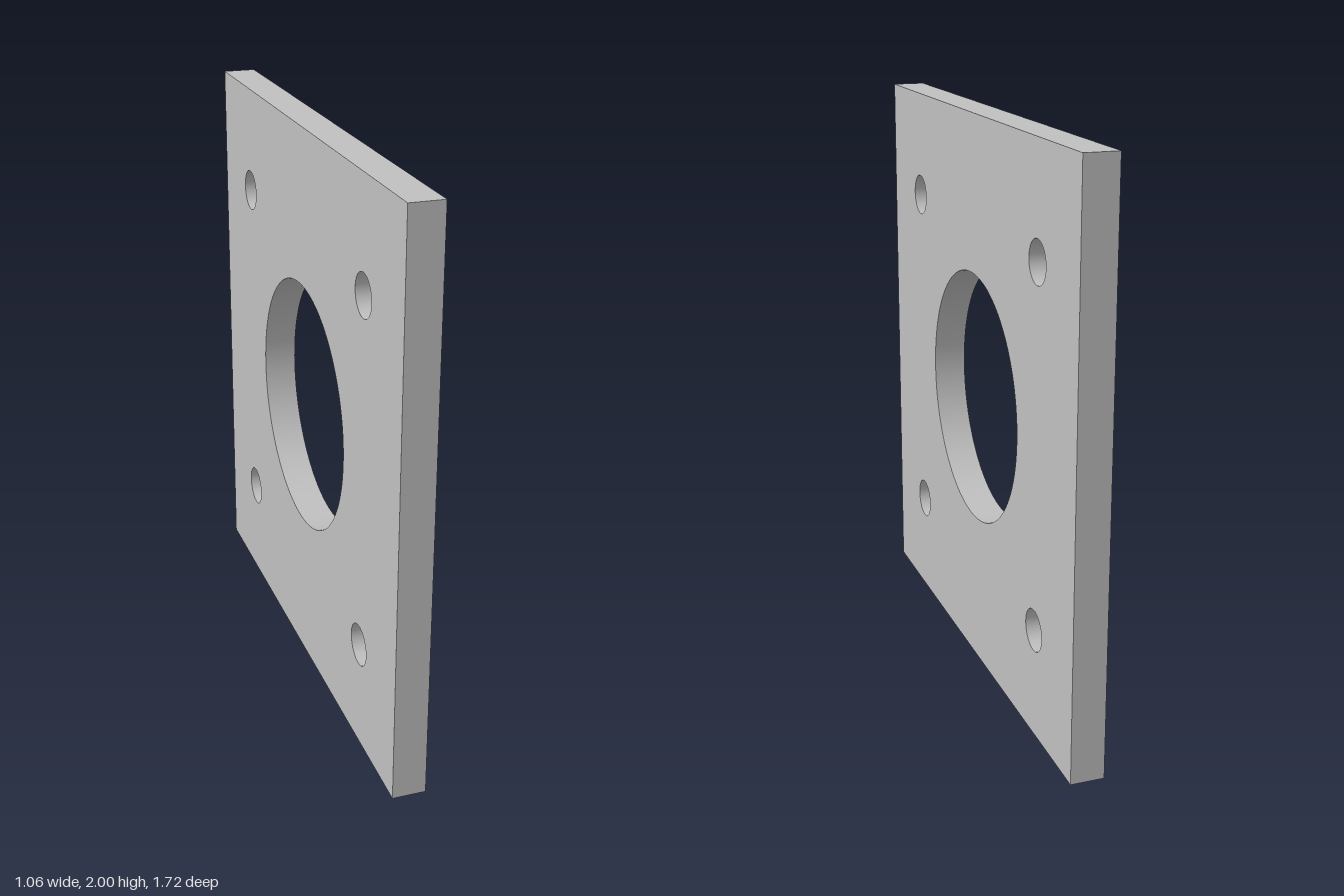
import * as THREE from 'three';

const WIDTH = 1.92, HEIGHT = 2, THICKNESS = 0.116;

export function createModel() {
  const group = new THREE.Group();
  group.name = 'mountingPlate';
  const grey = new THREE.MeshStandardMaterial({ color: 0xc0c0c0 });
  grey.name = 'light grey';

  // Plate outline
  const w = WIDTH / 2, h = HEIGHT / 2;
  const outline = new THREE.Shape([
    new THREE.Vector2(-w, -h), new THREE.Vector2(w, -h),
    new THREE.Vector2(w, h), new THREE.Vector2(-w, h),
  ]);

  // Central bore and four bolt holes
  const addHole = (x, y, radius) =>
    outline.holes.push(new THREE.Path().absarc(x, y, radius, 0, Math.PI * 2, true));
  addHole(0, 0, 0.451);
  for (const x of [-0.62, 0.62]) for (const y of [-0.62, 0.62]) addHole(x, y, 0.073);

  const geometry = new THREE.ExtrudeGeometry(outline, {
    depth: THICKNESS, bevelEnabled: false, curveSegments: 64,
  });
  geometry.translate(0, 0, -THICKNESS / 2);

  // Smooth the hole walls: away from the outline, wall normals point to the hole's axis
  const pos = geometry.attributes.position, nor = geometry.attributes.normal;
  for (let i = 0; i < pos.count; i++) {
    const x = pos.getX(i), y = pos.getY(i);
    if (Math.abs(nor.getZ(i)) > 0.5 || Math.abs(x) > 0.8 || Math.abs(y) > 0.8) continue;
    const bolt = Math.hypot(x, y) > 0.5;
    const dx = (bolt ? Math.sign(x) * 0.62 : 0) - x;
    const dy = (bolt ? Math.sign(y) * 0.62 : 0) - y;
    const len = Math.hypot(dx, dy);
    nor.setXYZ(i, dx / len, dy / len, 0);
  }

  // Upright plate, turned 60 degrees about the vertical
  const plate = new THREE.Mesh(geometry, grey);
  plate.name = 'plate';
  plate.position.y = h;
  plate.rotation.y = Math.PI / 3;
  group.add(plate);
  return group;
}
